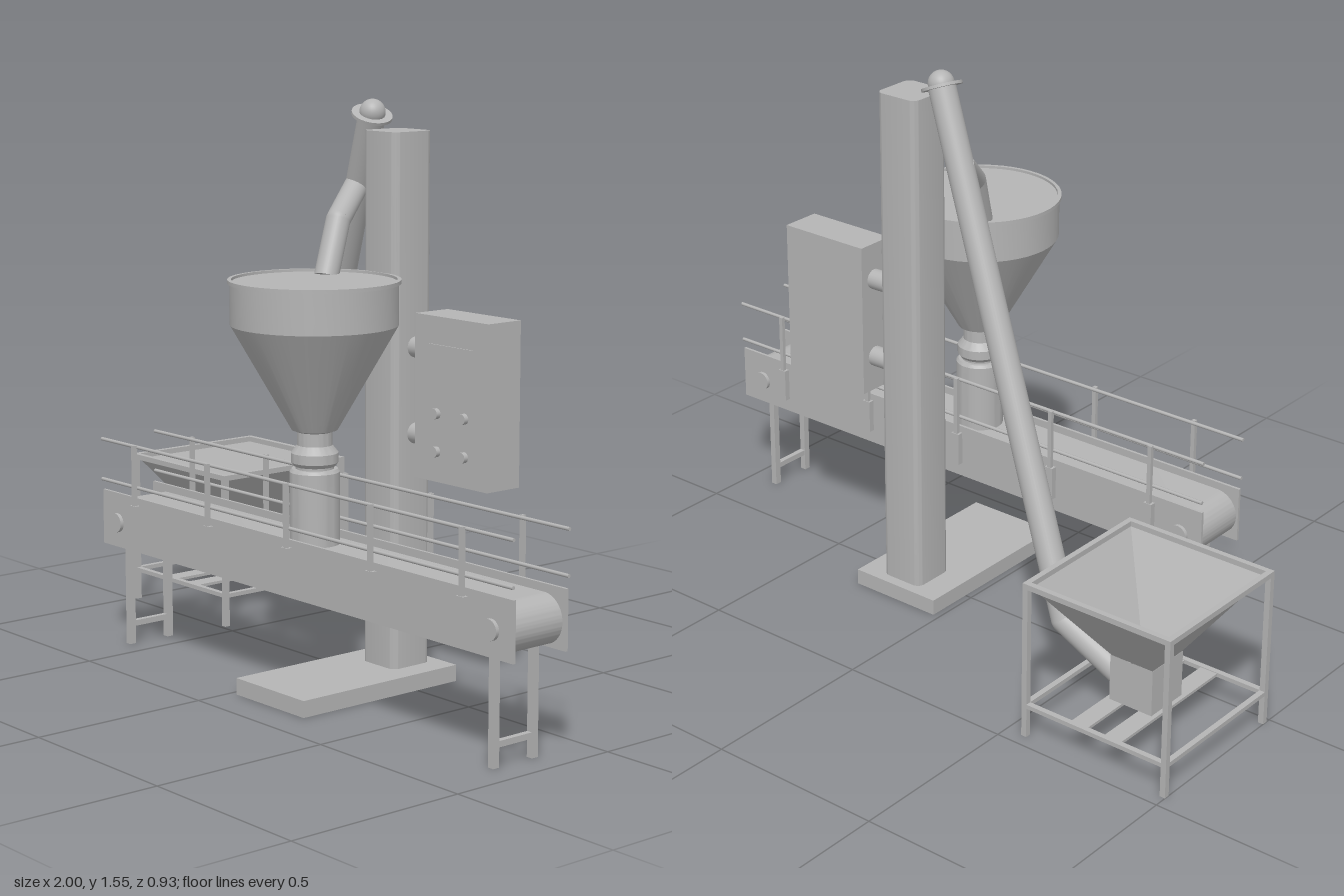
import * as THREE from 'three';
import { toCreasedNormals } from 'three/addons/utils/BufferGeometryUtils.js';

const V = (x, y, z) => new THREE.Vector3(x, y, z);

export function createModel() {
  const model = new THREE.Group();
  model.name = 'fillingLine';
  const steel = new THREE.MeshStandardMaterial({ color: 0xb4b4b4, side: THREE.DoubleSide });
  steel.name = 'steel grey';

  const group = (name) => {
    const g = new THREE.Group();
    g.name = name;
    model.add(g);
    return g;
  };
  const add = (parent, name, geometry) => {
    const mesh = new THREE.Mesh(geometry, steel);
    mesh.name = name;
    parent.add(mesh);
    return mesh;
  };
  // Box given by its minimum and maximum corners
  const box = (parent, name, [x0, x1], [y0, y1], [z0, z1]) => {
    const m = add(parent, name, new THREE.BoxGeometry(x1 - x0, y1 - y0, z1 - z0));
    m.position.set((x0 + x1) / 2, (y0 + y1) / 2, (z0 + z1) / 2);
    return m;
  };
  // Cylinder between two points
  const rod = (parent, name, a, b, r, sides = 24) => {
    const m = add(parent, name, new THREE.CylinderGeometry(r, r, a.distanceTo(b), sides));
    m.position.copy(a).lerp(b, 0.5);
    m.quaternion.setFromUnitVectors(V(0, 1, 0), b.clone().sub(a).normalize());
    return m;
  };
  // Bent pipe with ball joints at the bends
  const pipe = (parent, name, points, r) => {
    for (let i = 0; i < points.length - 1; i++) {
      rod(parent, name, points[i], points[i + 1], r, 32);
      if (i > 0) add(parent, name + 'Elbow', new THREE.SphereGeometry(r, 32, 20)).position.copy(points[i]);
    }
  };
  const lathe = (parent, name, points, x, z) => {
    const geo = new THREE.LatheGeometry(points.map(([r, y]) => new THREE.Vector2(r, y)), 48);
    add(parent, name, toCreasedNormals(geo, 0.4)).position.set(x, 0, z);
  };

  // Base plate and column with rounded corners
  const stand = group('stand');
  box(stand, 'basePlate', [0.02, 0.3], [0, 0.045], [-0.14, 0.39]);
  const w = 0.066, c = 0.022;
  const section = new THREE.Shape();
  section.absarc(w - c, w - c, c, 0, Math.PI / 2);
  section.absarc(c - w, w - c, c, Math.PI / 2, Math.PI);
  section.absarc(c - w, c - w, c, Math.PI, Math.PI * 1.5);
  section.absarc(w - c, c - w, c, Math.PI * 1.5, Math.PI * 2);
  const column = add(stand, 'column', toCreasedNormals(
    new THREE.ExtrudeGeometry(section, { depth: 1.43, bevelEnabled: false, curveSegments: 8 }), 0.5));
  column.rotation.x = -Math.PI / 2;
  column.position.set(0.165, 0.045, -0.043);

  // Control cabinet with screen and buttons
  const cabinet = group('controlCabinet');
  box(cabinet, 'cabinetBody', [0.3, 0.575], [0.58, 1.013], [-0.1, 0.013]);
  box(cabinet, 'screen', [0.355, 0.52], [0.83, 0.94], [0.012, 0.017]);
  for (const y of [0.68, 0.91]) rod(cabinet, 'cabinetArm', V(0.22, y, -0.05), V(0.31, y, -0.05), 0.028);
  for (const x of [0.385, 0.49])
    for (const y of [0.66, 0.76]) rod(cabinet, 'button', V(x, y, 0.01), V(x, y, 0.026), 0.014);

  // Filling hopper, nozzle and container
  const filler = group('filler');
  lathe(filler, 'fillingHopper', [
    [0, 0.62], [0.054, 0.62], [0.062, 0.63], [0.062, 0.655], [0.046, 0.675], [0.046, 0.71], [0.06, 0.715],
    [0.218, 0.99], [0.218, 1.097], [0.224, 1.097], [0.224, 1.107], [0.214, 1.107], [0.214, 1.1], [0, 1.1],
  ], 0.165, 0.24);
  lathe(filler, 'container', [
    [0, 0.41], [0.066, 0.41], [0.066, 0.605], [0.06, 0.613], [0.05, 0.613], [0.05, 0.625], [0, 0.625],
  ], 0.165, 0.24);

  // Conveyor belt and its frame
  const conveyor = group('conveyor');
  const midZ = 0.235, beltR = 0.064;
  const beltShape = new THREE.Shape();
  beltShape.absarc(0.925, 0.35, beltR, -Math.PI / 2, Math.PI / 2);
  beltShape.absarc(-0.6, 0.35, beltR, Math.PI / 2, Math.PI * 1.5);
  add(conveyor, 'belt', toCreasedNormals(
    new THREE.ExtrudeGeometry(beltShape, { depth: 0.17, bevelEnabled: false, curveSegments: 24 }), 0.5))
    .position.z = midZ - 0.085;

  for (const s of [-1, 1]) {
    const span = (a, b) => [midZ + s * a, midZ + s * b].sort((p, q) => p - q);
    box(conveyor, 'sidePanel', [-0.67, 1], [0.28, 0.435], span(0.083, 0.091));
    for (const x of [-0.6, 0.925])
      rod(conveyor, 'rollerBearing', V(x, 0.35, midZ + s * 0.085), V(x, 0.35, midZ + s * 0.101), 0.027);
    // Guide rails, posts and brackets
    for (const y of [0.465, 0.58])
      rod(conveyor, 'guideRail', V(-0.67, y, midZ + s * 0.092), V(1, y, midZ + s * 0.092), 0.005, 12);
    for (let i = 0; i < 5; i++) {
      const x = -0.505 + i * 0.334;
      box(conveyor, 'railPost', [x - 0.006, x + 0.006], [0.4, 0.585], span(0.095, 0.106));
      box(conveyor, 'railBracket', [x - 0.013, x + 0.013], [0.32, 0.415], span(0.09, 0.108));
    }
    for (const x of [-0.58, 0.91])
      box(conveyor, 'conveyorLeg', [x - 0.009, x + 0.009], [0, 0.3], span(0.055, 0.075));
  }
  for (const x of [-0.58, 0.91])
    box(conveyor, 'legBrace', [x - 0.008, x + 0.008], [0.05, 0.066], [midZ - 0.06, midZ + 0.06]);

  // Feed hopper on its frame
  const feed = group('feedHopper');
  feed.position.set(-0.774, 0, -0.238);
  const squareFunnel = (name, top, bottom, y0, y1) => {
    const geo = new THREE.CylinderGeometry(top * Math.SQRT2, bottom * Math.SQRT2, y1 - y0, 4, 1, true);
    geo.rotateY(Math.PI / 4);
    add(feed, name, toCreasedNormals(geo, 0.3)).position.y = (y0 + y1) / 2;
  };
  squareFunnel('funnel', 0.214, 0.064, 0.225, 0.436);
  squareFunnel('outletBox', 0.066, 0.066, 0.097, 0.225);
  box(feed, 'outletFloor', [-0.066, 0.066], [0.095, 0.1], [-0.066, 0.066]);
  for (const s of [-1, 1]) {
    const edge = [s * 0.218 - 0.008, s * 0.218 + 0.008], full = [-0.226, 0.226];
    for (const [name, y] of [['rimBar', [0.431, 0.446]], ['lowerBar', [0.085, 0.097]]]) {
      box(feed, name, edge, y, full);
      box(feed, name, full, y, edge);
    }
    for (const t of [-1, 1])
      box(feed, 'feedLeg', edge, [0, 0.44], [t * 0.218 - 0.008, t * 0.218 + 0.008]);
    box(feed, 'supportSlat', [s * 0.052 - 0.026, s * 0.052 + 0.026], [0.087, 0.095], [-0.22, 0.22]);
  }

  // Screw feeder pipe with end flange and dome
  const feeder = group('screwFeeder');
  const bend = V(-0.51, 0.225, -0.235), top = V(0.06, 1.51, -0.045);
  pipe(feeder, 'feederPipe', [V(-0.7, 0.135, -0.238), bend, top], 0.037);
  const axis = top.clone().sub(bend).normalize();
  rod(feeder, 'endFlange', top.clone().addScaledVector(axis, -0.004), top.clone().addScaledVector(axis, 0.004), 0.055, 32);
  add(feeder, 'motorDome', new THREE.SphereGeometry(0.035, 32, 20)).position.copy(top).addScaledVector(axis, 0.008);

  // Spout from the feeder down to the filling hopper
  pipe(group('spout'), 'spoutPipe', [V(-0.03, 1.325, -0.075), V(0.028, 1.235, 0.045), V(0.056, 1.09, 0.11)], 0.033);

  return model;
}
